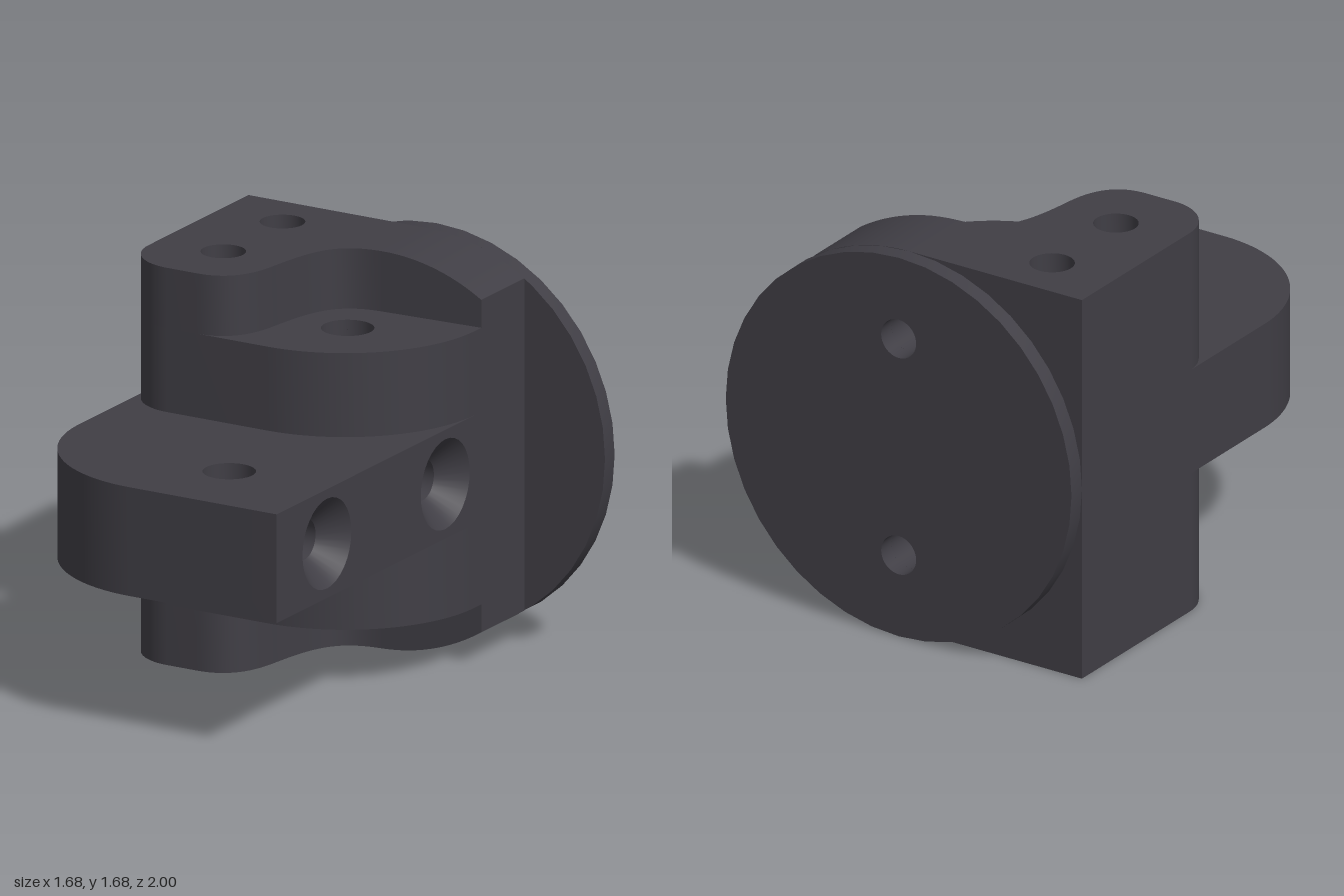
import * as THREE from 'three';
import { toCreasedNormals } from 'three/addons/utils/BufferGeometryUtils.js';

const MID = 0.84;          // height of the symmetry plane
const R = 0.84;            // mounting disc radius
const LEFT = -0.84, RIGHT = 0.46, BACK = -0.925;
const PIVOT = [0, 0.31, 0.108], FRONT_PIN = [0, -0.61, 0.108];
const EAR_HOLES = [[-0.54, 0.695, 0.092], [-0.54, 0.235, 0.092]];

export function createModel() {
  const group = new THREE.Group();
  const charcoal = new THREE.MeshStandardMaterial({ color: 0x403e45 });
  charcoal.name = 'charcoal';

  function add(name, geometry) {
    const mesh = new THREE.Mesh(geometry, charcoal);
    mesh.name = name;
    group.add(mesh);
    return mesh;
  }

  function punch(shape, holes) {
    for (const [x, y, r] of holes) {
      shape.holes.push(new THREE.Path().absarc(x, y, r, 0, Math.PI * 2, true));
    }
    return shape;
  }

  function rect(x0, y0, x1, y1) {
    return new THREE.Shape([[x0, y0], [x1, y0], [x1, y1], [x0, y1]].map(p => new THREE.Vector2(...p)));
  }

  function extrude(shape, depth) {
    return new THREE.ExtrudeGeometry(shape, { depth, bevelEnabled: false, curveSegments: 20 });
  }

  // Extrudes a plan, drawn in (x, -z), between two heights
  function layer(shape, y0, y1) {
    return extrude(shape, y1 - y0).rotateX(-Math.PI / 2).translate(0, y0, 0);
  }

  // Removes the flat wall lying on one coordinate plane (0 = x, 2 = z)
  function openWall(geometry, axis, value) {
    const p = geometry.attributes.position, kept = [];
    for (let i = 0; i < p.count; i += 3) {
      const onWall = [0, 1, 2].every(k => Math.abs(p.getComponent(i + k, axis) - value) < 1e-4);
      if (onWall) continue;
      for (let k = 0; k < 3; k++) kept.push(p.getX(i + k), p.getY(i + k), p.getZ(i + k));
    }
    const open = new THREE.BufferGeometry();
    open.setAttribute('position', new THREE.Float32BufferAttribute(kept, 3));
    return open;
  }

  const smooth = g => toCreasedNormals(g, 0.5);

  // Inward-facing bore; points run from the mouth (high y) inwards
  function bore(...points) {
    return new THREE.LatheGeometry(points.map(p => new THREE.Vector2(...p)), 32);
  }

  // Left edge with the small rounded front corner
  function leftEdge() {
    const s = new THREE.Shape();
    s.moveTo(LEFT, -BACK);
    s.lineTo(LEFT, 0.15);
    s.absarc(-0.62, 0.15, 0.22, Math.PI, Math.PI * 1.5, false);
    return s;
  }

  // Body cheeks above and below the tongue
  const cheek = leftEdge();
  cheek.lineTo(-0.15, -0.07);
  cheek.absarc(-0.15, 0.54, 0.61, -Math.PI / 2, 0, false);
  cheek.lineTo(RIGHT, -BACK);
  punch(cheek, [PIVOT, ...EAR_HOLES]);
  add('lowerCheek', smooth(openWall(layer(cheek, 0.255, 0.61), 2, BACK)));
  add('upperCheek', smooth(openWall(layer(cheek, 1.07, 1.425), 2, BACK)));

  // Central tongue reaching forward
  const tongue = new THREE.Shape();
  tongue.moveTo(LEFT, -BACK);
  tongue.lineTo(LEFT, -0.39);
  tongue.absarc(-0.23, -0.39, 0.61, Math.PI, Math.PI * 1.5, false);
  tongue.lineTo(RIGHT, -1);
  tongue.lineTo(RIGHT, -BACK);
  punch(tongue, [PIVOT, FRONT_PIN, ...EAR_HOLES]);
  const tongueGeo = openWall(openWall(layer(tongue, 0.61, 1.07), 0, RIGHT), 2, BACK);
  add('tongue', smooth(tongueGeo));

  // Tongue side face with countersunk screw holes
  const side = punch(rect(-1, 0.61, -BACK, 1.07), [[-0.61, MID, 0.19], [0.31, MID, 0.19]]);
  add('tongueSide', new THREE.ShapeGeometry(side, 16).rotateY(Math.PI / 2).translate(RIGHT, 0, 0));
  for (const z of [0.61, -0.31]) {
    const place = g => g.rotateZ(-Math.PI / 2).translate(0, MID, z);
    add('countersink', place(bore([0.19, RIGHT], [0.085, 0.355])));
    add('screwBore', place(bore([0.085, 0.355], [0.085, 0.095])));
  }

  // Back wall of the body and the disc bolted to it
  const boltHoles = [[0, MID + 0.48, 0.085], [0, MID - 0.48, 0.085]];
  const wall = punch(rect(-RIGHT, 0.255, -LEFT, 1.425), boltHoles);
  add('backWall', new THREE.ShapeGeometry(wall, 16).rotateY(Math.PI).translate(0, 0, BACK));
  const disc = punch(new THREE.Shape().absarc(0, MID, R, 0, Math.PI * 2, false), boltHoles);
  add('mountingDisc', smooth(extrude(disc, 1 + BACK).translate(0, 0, -1)));
  for (const [x, y, r] of boltHoles) {
    add('boltBore', bore([r, -BACK], [r, 0.4]).rotateX(-Math.PI / 2).translate(x, y, 0));
  }

  // S-shaped ears and rounded shoulders at the top and bottom
  const ear = leftEdge();
  ear.lineTo(-0.48, -0.07);
  ear.bezierCurveTo(-0.34, -0.07, -0.28, 0.03, -0.265, 0.18);
  ear.bezierCurveTo(-0.235, 0.42, -0.2, 0.555, 0, 0.567);
  ear.lineTo(0, -BACK);
  punch(ear, EAR_HOLES);
  add('upperEar', smooth(layer(ear, 1.425, 1.68)));
  add('lowerEar', smooth(layer(ear, 0, 0.255)));

  for (const s of [1, -1]) {
    const pts = [new THREE.Vector2(0, MID + s * 0.585), new THREE.Vector2(RIGHT, MID + s * 0.585)];
    const start = Math.acos(RIGHT / R);
    for (let i = 0; i <= 12; i++) {
      const a = start + (Math.PI / 2 - start) * i / 12;
      pts.push(new THREE.Vector2(R * Math.cos(a), MID + s * R * Math.sin(a)));
    }
    const g = extrude(new THREE.Shape(pts), -0.567 - BACK).translate(0, 0, BACK);
    // Slant the front face slightly backwards towards the right
    const p = g.attributes.position;
    for (let i = 0; i < p.count; i++) {
      if (p.getZ(i) > -0.7) p.setZ(i, -0.567 - 0.05 * p.getX(i));
    }
    add(s > 0 ? 'upperShoulder' : 'lowerShoulder', smooth(g));
  }

  return group;
}
